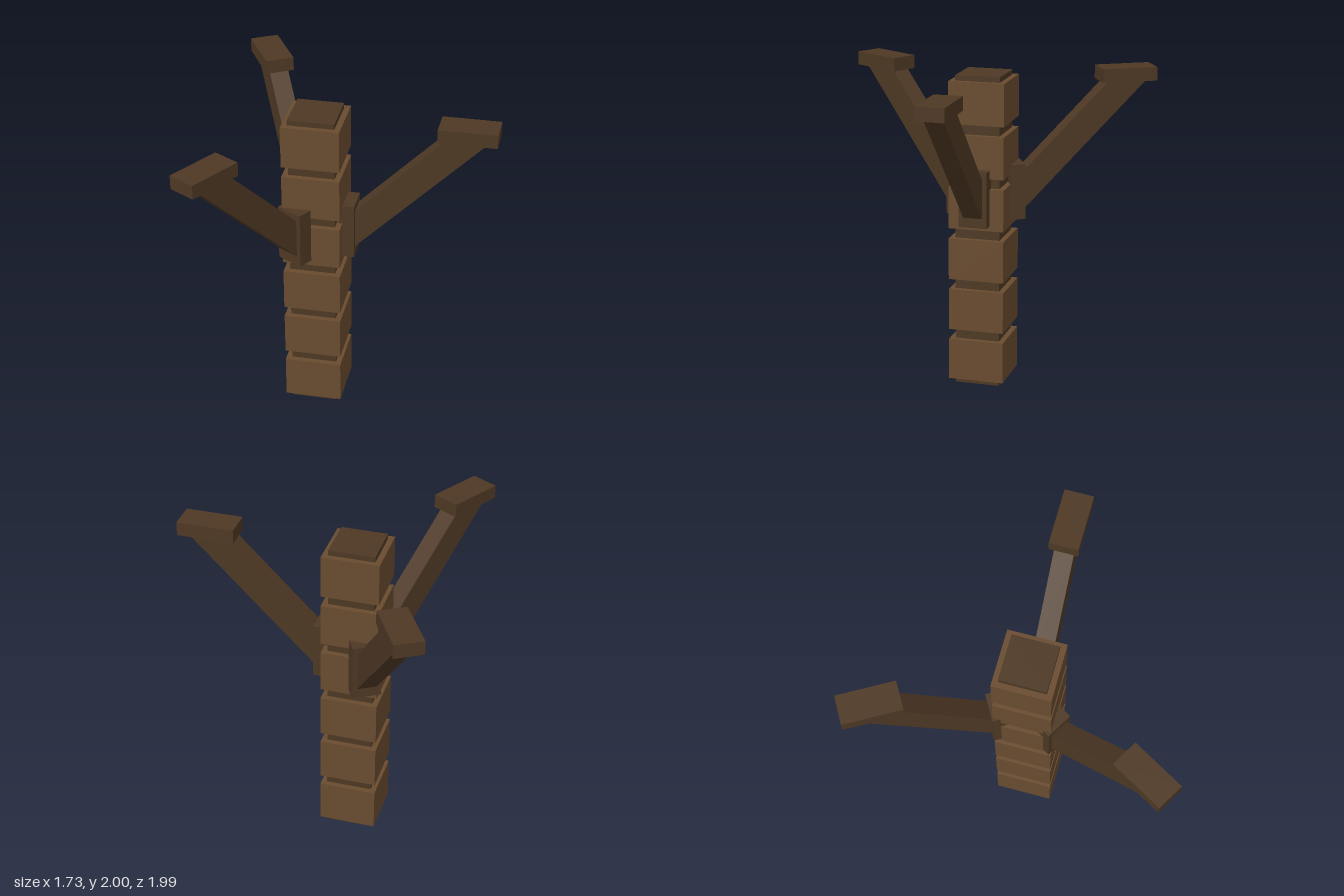
import * as THREE from 'three';

const darkWood = new THREE.MeshStandardMaterial({ color: 0x4e3824, flatShading: true });
const lightWood = new THREE.MeshStandardMaterial({ color: 0x694b2f, flatShading: true });

function addBox(parent, name, material, size, position) {
  const mesh = new THREE.Mesh(new THREE.BoxGeometry(...size), material);
  mesh.name = name;
  mesh.position.set(...position);
  parent.add(mesh);
  return mesh;
}

// One bracketed arm reaching out along +x from the post axis
function createArm() {
  const arm = new THREE.Group();
  arm.name = 'arm';
  addBox(arm, 'bracketPlate', darkWood, [0.1, 0.355, 0.178], [0.2, 1.245, 0]);
  addBox(arm, 'endPad', darkWood, [0.355, 0.086, 0.178], [0.922, 1.957, 0]);

  // Slanted beam at 45 degrees, cut upright at the plate and level under the pad
  const side = new THREE.Shape([
    new THREE.Vector2(0.24, 1.12),
    new THREE.Vector2(1.04, 1.92),
    new THREE.Vector2(0.79, 1.92),
    new THREE.Vector2(0.24, 1.37),
  ]);
  const width = 0.12;
  const geometry = new THREE.ExtrudeGeometry(side, { depth: width, bevelEnabled: false });
  geometry.translate(0, 0, -width / 2);
  const beam = new THREE.Mesh(geometry, darkWood);
  beam.name = 'slantedBeam';
  arm.add(beam);
  return arm;
}

export function createModel() {
  const model = new THREE.Group();
  model.name = 'branchedPost';

  // Square post: dark core with six wider blocks
  const post = new THREE.Group();
  post.name = 'post';
  addBox(post, 'core', darkWood, [0.285, 2, 0.285], [0, 1, 0]);
  for (let i = 0; i < 6; i++) {
    addBox(post, 'block', lightWood, [0.355, 0.267, 0.355], [0, (i + 0.5) / 3, 0]);
  }
  model.add(post);

  // Three arms spaced evenly around the post
  for (let i = 0; i < 3; i++) {
    const arm = createArm();
    arm.rotation.y = (i * Math.PI * 2) / 3;
    model.add(arm);
  }

  // Shift the post so that the whole model is centred
  model.children.forEach((part) => { part.position.x = -0.239; });
  return model;
}
